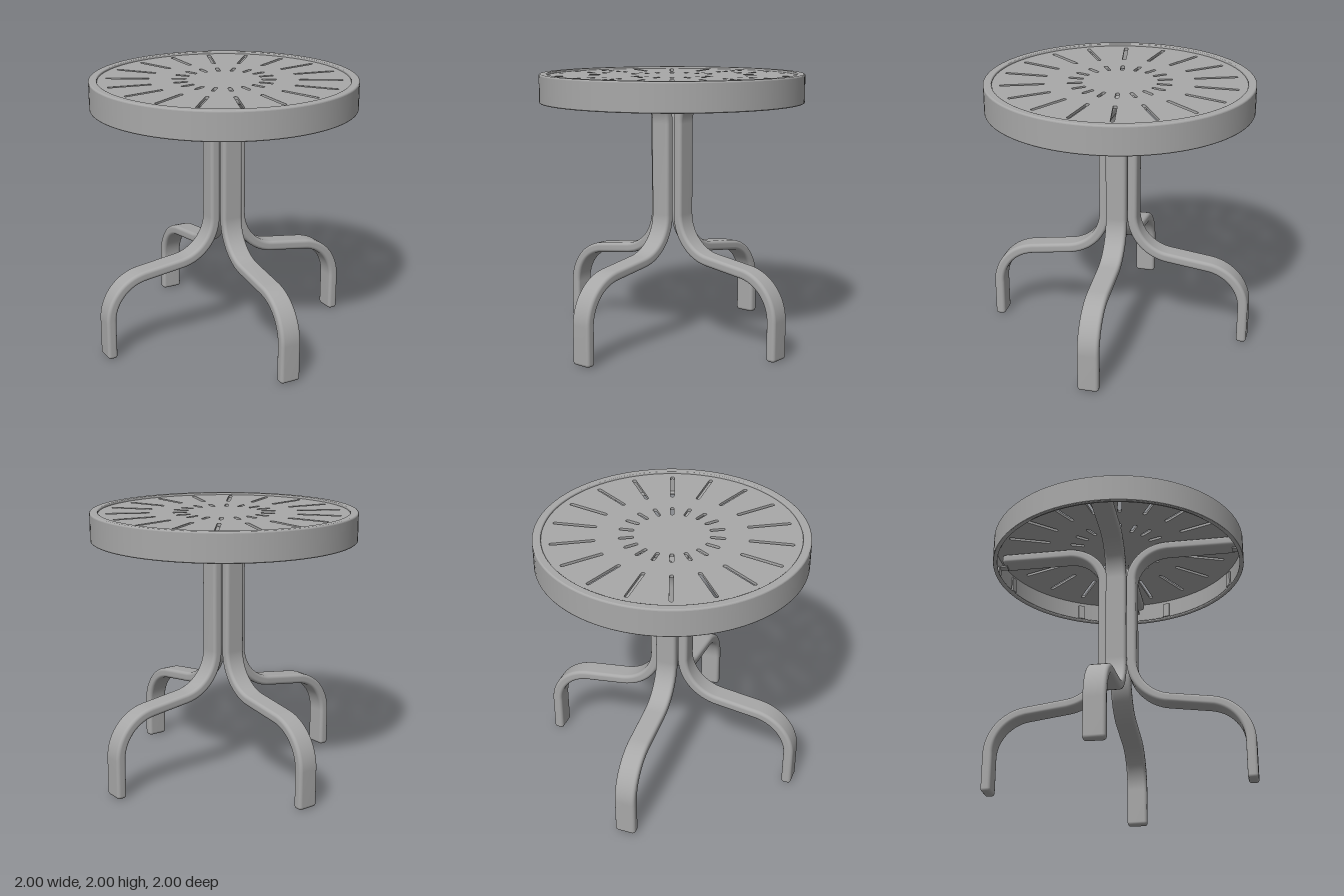
import * as THREE from 'three';

const LEG_WIDTH = 0.156, LEG_DEPTH = 0.075, CORNER = 0.024;

// Polyline in the (radius, height) plane with true arcs at the inner corners
function filletPath(points, radii) {
  const out = [points[0].clone()];
  for (let i = 1; i < points.length - 1; i++) {
    const a = points[i].clone().sub(points[i - 1]).normalize();
    const b = points[i + 1].clone().sub(points[i]).normalize();
    const turn = Math.acos(a.dot(b)), R = radii[i - 1];
    const side = Math.sign(a.cross(b));
    const n = new THREE.Vector2(-a.y * side, a.x * side);
    const start = points[i].clone().addScaledVector(a, -R * Math.tan(turn / 2));
    for (let k = 0; k <= 16; k++) {
      const t = turn * k / 16;
      out.push(start.clone().addScaledVector(n, R * (1 - Math.cos(t))).addScaledVector(a, R * Math.sin(t)));
    }
  }
  out.push(points[points.length - 1].clone());
  return out;
}

// Rounded rectangle outline, u across the width and v across the depth
function section(inset) {
  const ring = [], r = Math.max(CORNER - inset, 0.004);
  const hw = LEG_WIDTH / 2 - inset - r, hd = LEG_DEPTH / 2 - inset - r;
  [[1, 1], [-1, 1], [-1, -1], [1, -1]].forEach(([su, sv], q) => {
    for (let k = 0; k <= 5; k++) {
      const t = (q + k / 5) * Math.PI / 2;
      ring.push([su * hw + r * Math.cos(t), sv * hd + r * Math.sin(t)]);
    }
  });
  return ring;
}

// Bent flat tube with rounded ends, swept along a path in the XY plane
function bentTube(path) {
  const rings = [], last = path.length - 1, round = 0.024;
  path.forEach((p, i) => {
    const dir = path[Math.min(i + 1, last)].clone().sub(path[Math.max(i - 1, 0)]).normalize();
    if (i > 0 && i < last) { rings.push({ p, dir, inset: 0 }); return; }
    const steps = [];
    for (let k = 0; k <= 4; k++) {
      const t = k / 4 * Math.PI / 2;
      const along = round * (1 - Math.sin(t)), inset = round * (1 - Math.cos(t));
      steps.push({ p: p.clone().addScaledVector(dir, i === 0 ? along : -along), dir, inset });
    }
    rings.push(...(i === 0 ? steps.reverse() : steps));
  });
  const pos = [], idx = [], n = section(0).length;
  for (const { p, dir, inset } of rings)
    for (const [u, v] of section(inset)) pos.push(p.x - dir.y * v, p.y + dir.x * v, u);
  for (let i = 0; i < rings.length - 1; i++)
    for (let j = 0; j < n; j++) {
      const a = i * n + j, b = i * n + (j + 1) % n;
      idx.push(a, a + n, b, b, a + n, b + n);
    }
  const end = (rings.length - 1) * n;
  for (let j = 1; j < n - 1; j++) {
    idx.push(0, j, j + 1);
    idx.push(end, end + j + 1, end + j);
  }
  const g = new THREE.BufferGeometry();
  g.setAttribute('position', new THREE.Float32BufferAttribute(pos, 3));
  g.setIndex(idx);
  g.computeVertexNormals();
  return g;
}

// Radial slot with round ends, as a hole outline
function slot(angle, r0, r1, halfWidth) {
  const pts = [];
  for (const [r, from] of [[r1 - halfWidth, -Math.PI / 2], [r0 + halfWidth, Math.PI / 2]])
    for (let k = 0; k <= 8; k++) {
      const t = from + Math.PI * k / 8;
      pts.push(new THREE.Vector2(r + halfWidth * Math.cos(t), halfWidth * Math.sin(t))
        .rotateAround(new THREE.Vector2(), angle));
    }
  return new THREE.Path(pts);
}

export function createModel() {
  const group = new THREE.Group();
  const metal = new THREE.MeshStandardMaterial({ color: 0xa8a8a8, side: THREE.DoubleSide });
  metal.name = 'grey metal';
  const add = (parent, name, geometry) => {
    const mesh = new THREE.Mesh(geometry, metal);
    mesh.name = name;
    parent.add(mesh);
    return mesh;
  };

  // Slotted table top, slightly below the rim
  const disc = new THREE.Shape().absarc(0, 0, 0.93, 0, Math.PI * 2);
  for (let i = 0; i < 18; i++) {
    const a = Math.PI / 2 + i * Math.PI / 9;
    disc.holes.push(slot(a, 0.54, 0.86, 0.014), slot(a, 0.27, 0.38, 0.014));
  }
  const plate = new THREE.ExtrudeGeometry(disc, { depth: 0.02, bevelEnabled: false, curveSegments: 96 });
  plate.rotateX(-Math.PI / 2);
  add(group, 'tableTop', plate).position.y = 1.965;

  // Rim and skirt: each run of the profile is its own lathe, to keep the edges crisp
  const runs = [
    [[0.955, 1.79], [0.971, 1.79], [0.974, 1.792], [0.975, 1.795]],
    [[0.975, 1.795], [0.975, 1.988]],
    [[0.975, 1.988], [0.974, 1.994], [0.970, 1.998], [0.965, 2]],
    [[0.965, 2], [0.922, 2]],
    [[0.922, 2], [0.917, 1.998], [0.914, 1.993], [0.914, 1.965]],
    [[0.914, 1.965], [0.963, 1.965]],
    [[0.963, 1.965], [0.963, 1.81]],
    [[0.963, 1.81], [0.945, 1.807], [0.942, 1.798], [0.945, 1.79], [0.955, 1.79]],
  ];
  const rim = new THREE.Group();
  rim.name = 'rim';
  for (const run of runs)
    add(rim, 'rimBand', new THREE.LatheGeometry(run.map(([x, y]) => new THREE.Vector2(x, y)), 96));
  group.add(rim);

  // Four bent legs, each running from the foot to an arm under the top
  const corners = [[0.9625, 0], [0.9625, 0.566], [0.1075, 0.684], [0.1075, 1.922], [0.92, 1.922]]
    .map(([x, y]) => new THREE.Vector2(x, y));
  const legGeometry = bentTube(filletPath(corners, [0.32, 0.32, 0.285]));
  for (let i = 0; i < 4; i++) {
    const leg = new THREE.Group();
    leg.name = 'leg';
    leg.rotation.y = i * Math.PI / 2;
    add(leg, 'legTube', legGeometry);
    // Strap holding the arm end to the skirt
    add(leg, 'armStrap', new THREE.BoxGeometry(0.07, 0.012, 0.06)).position.set(0.925, 1.879, 0);
    add(leg, 'armStrapTab', new THREE.BoxGeometry(0.012, 0.08, 0.06)).position.set(0.957, 1.845, 0);
    group.add(leg);
  }

  // Small clips around the inside of the skirt
  for (let i = 0; i < 8; i++) {
    const clip = new THREE.Group();
    clip.name = 'skirtClip';
    clip.rotation.y = -(16.5 + i * 45) * Math.PI / 180;
    add(clip, 'clipPlate', new THREE.BoxGeometry(0.012, 0.12, 0.055)).position.set(0.945, 1.87, 0);
    add(clip, 'clipFoot', new THREE.BoxGeometry(0.03, 0.012, 0.055)).position.set(0.95, 1.815, 0);
    group.add(clip);
  }
  return group;
}
